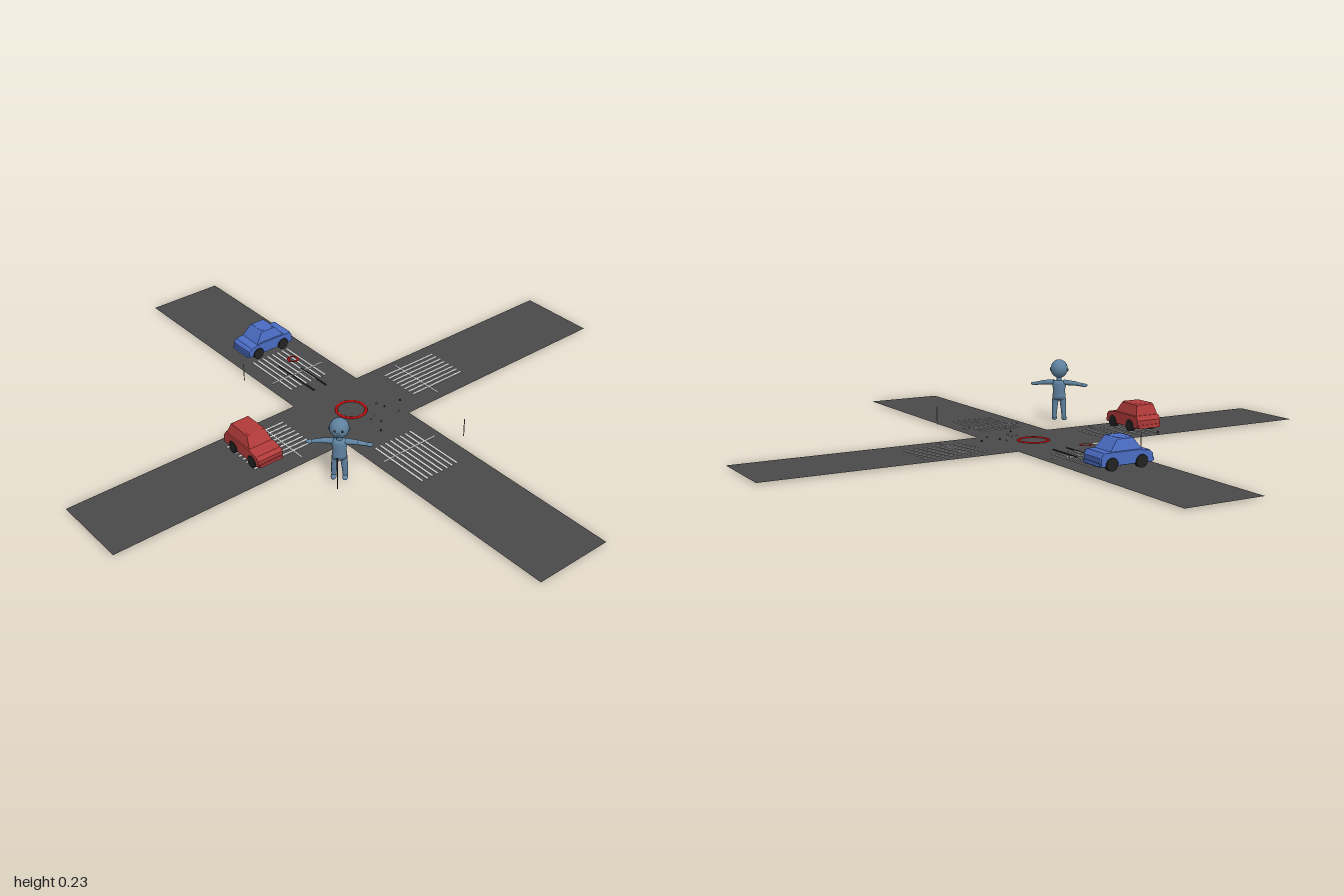
import * as THREE from 'three';

const mat = (name, color, double) => {
  const m = new THREE.MeshStandardMaterial({ color });
  m.name = name;
  if (double) m.side = THREE.DoubleSide;
  return m;
};

export function createModel() {
  const root = new THREE.Group();
  root.name = 'crossroads';
  const M = {
    road: mat('asphalt', 0x4a4a4a, true),
    paint: mat('road paint', 0xdcdcdc),
    red: mat('car red', 0xb23a3a),
    blue: mat('car blue', 0x4a6cc4),
    black: mat('rubber black', 0x222222),
    skin: mat('figure blue grey', 0x5f82a0),
    ring: mat('signal red', 0xb80c0c, true),
    grey: mat('post grey', 0x8c8c8c),
  };
  const add = (parent, name, geo, material, x = 0, y = 0, z = 0) => {
    const m = new THREE.Mesh(geo, material);
    m.name = name;
    m.position.set(x, y, z);
    parent.add(m);
    return m;
  };
  const ROAD = 0.004;

  // Road surface: one cross-shaped sheet
  const w = 0.137;
  const cross = new THREE.Shape([
    [-w, -1], [w, -1], [w, -w], [1, -w], [1, w], [w, w],
    [w, 1], [-w, 1], [-w, w], [-1, w], [-1, -w], [-w, -w],
  ].map(([x, y]) => new THREE.Vector2(x, y)));
  add(root, 'road', new THREE.ShapeGeometry(cross).rotateX(-Math.PI / 2), M.road, 0, ROAD, 0);

  // Crossings: eight stripes and a stop line on each arm
  for (const side of [-1, 1]) {
    for (let i = 0; i < 8; i++) {
      const t = -0.084 + i * 0.021;
      add(root, 'crossingStripe', new THREE.BoxGeometry(0.006, 0.002, 0.225), M.paint, t, ROAD + 0.001, side * 0.333);
      add(root, 'crossingStripe', new THREE.BoxGeometry(0.225, 0.002, 0.006), M.paint, side * 0.333, ROAD + 0.001, t + 0.018);
    }
    add(root, 'stopLine', new THREE.BoxGeometry(0.22, 0.002, 0.004), M.paint, 0, ROAD + 0.0015, side * 0.293);
    add(root, 'stopLine', new THREE.BoxGeometry(0.004, 0.002, 0.22), M.paint, side * 0.293, ROAD + 0.0015, 0);
  }

  // Ring at the centre of the junction
  const ring = add(root, 'centreRing', new THREE.TorusGeometry(0.05, 0.005, 8, 40).rotateX(Math.PI / 2), M.ring, 0, ROAD, 0);
  ring.scale.y = 0.8;

  // Small raised ring on the west arm, and the tyre marks beside it
  add(root, 'smallRing', new THREE.RingGeometry(0.013, 0.021, 20).rotateX(-Math.PI / 2), M.ring, -0.325, 0.045, -0.005);
  add(root, 'tyreMark', new THREE.BoxGeometry(0.14, 0.002, 0.006), M.black, -0.24, ROAD + 0.002, -0.028);
  add(root, 'tyreMark', new THREE.BoxGeometry(0.2, 0.002, 0.006), M.black, -0.27, ROAD + 0.002, 0.024);

  // Thin posts
  const post = (name, material, x, z, y0, y1, r) =>
    add(root, name, new THREE.CylinderGeometry(r, r, y1 - y0, 8), material, x, (y0 + y1) / 2, z);
  post('post', M.grey, 0.36, -0.175, 0.015, 0.08, 0.0015);
  post('post', M.grey, -0.36, 0.18, 0.015, 0.08, 0.0015);
  post('stick', M.black, 0.31, 0.31, 0.008, 0.124, 0.002);

  // Loose fragments
  const bits = [[0.065, -0.16], [0.11, -0.115], [0.03, -0.085], [0.06, -0.095], [0.08, -0.035],
    [0.12, -0.03], [0.16, 0.005], [0.09, -0.012], [-0.115, 0.42], [-0.11, 0.43], [-0.3, 0.04]];
  bits.forEach(([x, z], i) => {
    const b = add(root, 'fragment', new THREE.TetrahedronGeometry(0.005), i % 3 ? M.grey : M.black, x, ROAD + 0.004, z);
    b.rotation.set(i, i * 2.3, 0);
  });

  // Car, nose along +x; cabin spans [rear, rearTop, frontTop, front]
  const car = (name, paint, cabin, axles) => {
    const g = new THREE.Group();
    g.name = name;
    const s = new THREE.Shape();
    s.moveTo(-0.092, 0.024);
    for (const a of axles) {
      s.lineTo(a - 0.023, 0.024);
      s.absarc(a, 0.026, 0.023, Math.PI, 0, true);
      s.lineTo(a + 0.023, 0.024);
    }
    s.lineTo(0.09, 0.024);
    s.lineTo(0.092, 0.048);
    s.lineTo(0.082, 0.058);
    s.lineTo(0.04, 0.064);
    s.lineTo(-0.085, 0.064);
    s.lineTo(-0.094, 0.05);
    s.closePath();
    const body = new THREE.ExtrudeGeometry(s, {
      depth: 0.084, bevelEnabled: true, bevelSize: 0.002, bevelThickness: 0.005, bevelSegments: 1, curveSegments: 8,
    });
    add(g, 'body', body.translate(0, 0, -0.042), paint);

    // Cabin tapers towards the roof
    const [rear, rearTop, frontTop, front] = cabin;
    const top = new THREE.BoxGeometry(1, 1, 1);
    const p = top.attributes.position;
    for (let i = 0; i < p.count; i++) {
      const up = p.getY(i) > 0, nose = p.getX(i) > 0;
      p.setXYZ(i, up ? (nose ? frontTop : rearTop) : (nose ? front : rear),
        up ? 0.1 : 0.062, Math.sign(p.getZ(i)) * (up ? 0.034 : 0.044));
    }
    top.computeVertexNormals();
    add(g, 'cabin', top, paint);
    const roof = add(g, 'roof', new THREE.CylinderGeometry(0.9, 1, 0.004, 4, 1).rotateY(Math.PI / 4), paint,
      (rearTop + frontTop) / 2, 0.102, 0);
    roof.scale.set((frontTop - rearTop) / Math.SQRT2, 1, 0.068 / Math.SQRT2);

    // Underside, bumpers and wheels
    add(g, 'chassis', new THREE.BoxGeometry(0.16, 0.02, 0.06), M.black, 0, 0.03, 0);
    for (const e of [-1, 1])
      add(g, 'bumper', new THREE.BoxGeometry(0.008, 0.01, 0.088), paint, e * 0.094, 0.03, 0);
    for (const a of axles) for (const e of [-1, 1]) {
      add(g, 'wheel', new THREE.CylinderGeometry(0.02, 0.02, 0.016, 18).rotateX(Math.PI / 2), M.black, a, 0.028, e * 0.041);
    }
    root.add(g);
    return g;
  };
  car('redCar', M.red, [-0.083, -0.07, 0.017, 0.044], [-0.045, 0.056]).position.set(-0.003, 0, 0.4);
  const blue = car('blueCar', M.blue, [-0.062, -0.03, 0.028, 0.056], [-0.055, 0.052]);
  blue.position.set(-0.5, 0, -0.002);
  blue.rotation.y = -Math.PI / 2;

  // Pedestrian with outstretched arms
  const man = new THREE.Group();
  man.name = 'pedestrian';
  man.position.set(0.266, 0, 0.266);
  man.rotation.y = Math.PI / 4;
  root.add(man);
  const ball = (name, x, y, z, sx, sy, sz) =>
    add(man, name, new THREE.SphereGeometry(1, 18, 12), M.skin, x, y, z).scale.set(sx, sy, sz);
  const limb = (name, a, b, r0, r1) => {
    const A = new THREE.Vector3(...a), B = new THREE.Vector3(...b);
    const d = B.clone().sub(A);
    const m = add(man, name, new THREE.CylinderGeometry(r1, r0, d.length(), 12), M.skin);
    m.position.copy(A).add(B).multiplyScalar(0.5);
    m.quaternion.setFromUnitVectors(new THREE.Vector3(0, 1, 0), d.normalize());
  };
  ball('head', 0, 0.193, 0, 0.031, 0.033, 0.03);
  ball('nose', 0, 0.188, 0.03, 0.004, 0.004, 0.004);
  limb('neck', [0, 0.145, 0], [0, 0.17, 0], 0.01, 0.009);
  const torso = new THREE.LatheGeometry([[0, 0.078], [0.023, 0.082], [0.024, 0.095], [0.021, 0.115],
    [0.026, 0.138], [0.02, 0.15], [0, 0.153]].map(([x, y]) => new THREE.Vector2(x, y)), 18);
  add(man, 'torso', torso, M.skin).scale.z = 0.7;
  for (const e of [-1, 1]) {
    limb('upperArm', [e * 0.018, 0.144, 0], [e * 0.055, 0.142, 0], 0.01, 0.008);
    limb('forearm', [e * 0.055, 0.142, 0], [e * 0.085, 0.137, 0], 0.008, 0.006);
    ball('hand', e * 0.092, 0.136, 0, 0.012, 0.006, 0.008);
    limb('thigh', [e * 0.013, 0.086, 0], [e * 0.016, 0.05, 0], 0.012, 0.01);
    limb('shin', [e * 0.016, 0.052, 0], [e * 0.018, 0.014, 0], 0.01, 0.008);
    ball('foot', e * 0.018, 0.013, 0.006, 0.009, 0.007, 0.016);
    ball('ear', e * 0.031, 0.19, 0, 0.003, 0.006, 0.004);
    const eye = add(man, 'eye', new THREE.SphereGeometry(0.004, 10, 8), M.black, e * 0.011, 0.197, 0.0265);
    eye.scale.z = 0.5;
  }
  return root;
}
